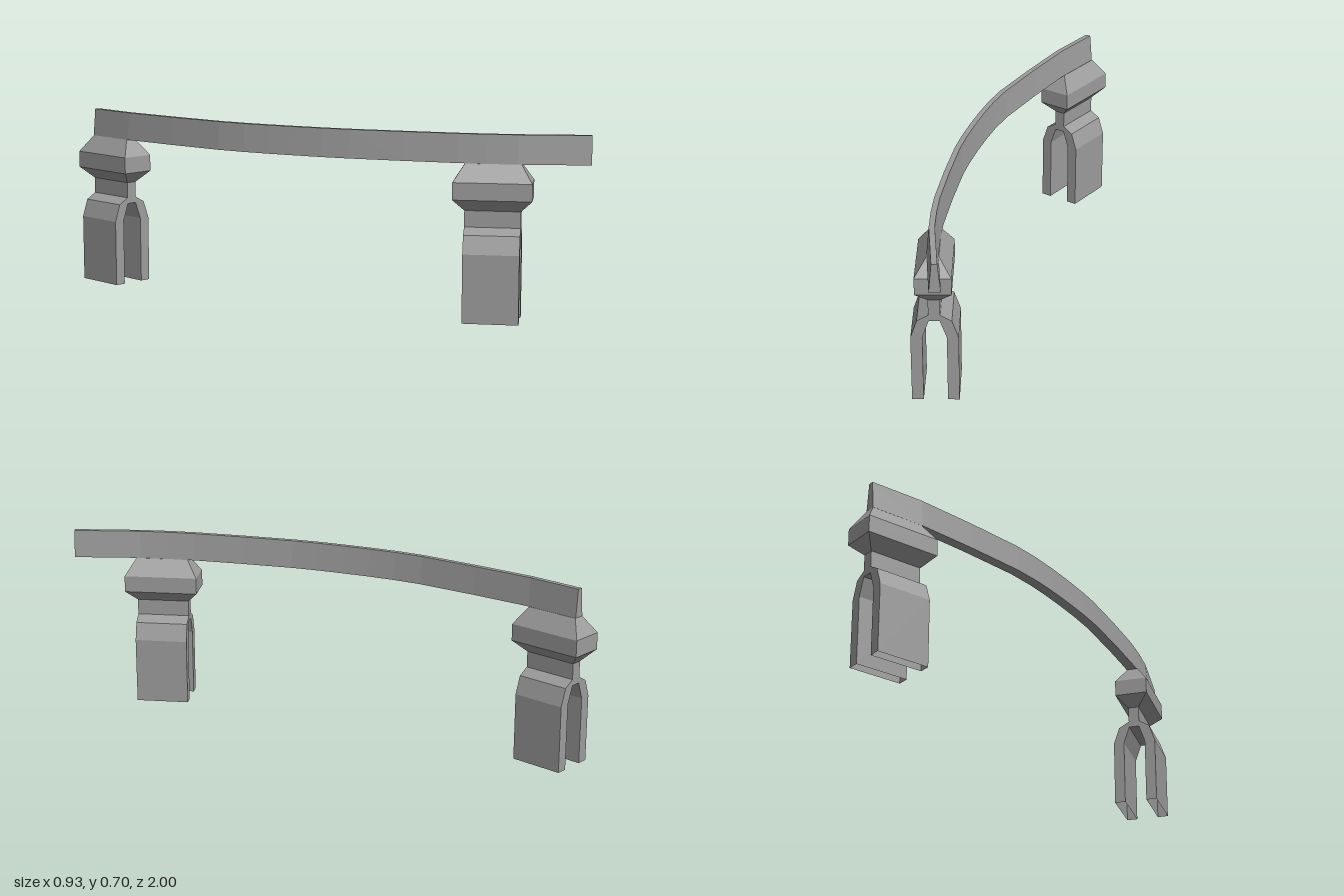
import * as THREE from 'three';

const material = new THREE.MeshStandardMaterial({
  color: 0x9c9c9c, flatShading: true, side: THREE.DoubleSide,
});

function makeGeometry(positions) {
  const geo = new THREE.BufferGeometry();
  geo.setAttribute('position', new THREE.Float32BufferAttribute(positions, 3));
  geo.computeVertexNormals();
  return geo;
}

// Skin a list of four-cornered rings, capped at both ends
function loft(rings) {
  const pos = [];
  const quad = (a, b, c, d) => pos.push(...a, ...b, ...c, ...a, ...c, ...d);
  for (let i = 0; i < rings.length - 1; i++) {
    for (let j = 0; j < 4; j++) {
      const k = (j + 1) % 4;
      quad(rings[i][j], rings[i][k], rings[i + 1][k], rings[i + 1][j]);
    }
  }
  quad(...[...rings[0]].reverse());
  quad(...rings[rings.length - 1]);
  return makeGeometry(pos);
}

function addMesh(parent, geo, name) {
  const mesh = new THREE.Mesh(geo, material);
  mesh.name = name;
  parent.add(mesh);
}

// Two hollow legs under a shoulder, open where they meet the ground
function makeFork() {
  const length = 0.21;
  // Half outline, mirrored to the other side
  const half = [[0.0215, 0.353], [0.063, 0.329], [0.0865, 0.261], [0.0865, 0],
    [0.044, 0], [0.044, 0.261], [0.02, 0.329]];
  const outline = [...half, ...half.map(([x, y]) => [-x, y]).reverse()];
  const shape = new THREE.Shape(outline.map(([x, y]) => new THREE.Vector2(x, y)));
  const solid = new THREE.ExtrudeGeometry(shape, { depth: length, bevelEnabled: false });
  solid.translate(0, 0, -length / 2);

  // Keep every triangle except those lying flat on the ground
  const all = solid.getAttribute('position').array;
  const kept = [];
  for (let i = 0; i < all.length; i += 9) {
    if (Math.max(all[i + 1], all[i + 4], all[i + 7]) > 0.001) kept.push(...all.slice(i, i + 9));
  }
  return makeGeometry(kept);
}

// Post: neck and bevelled cap above the fork
function makePost(name, x, z, degrees) {
  const post = new THREE.Group();
  post.name = name;

  // [height, half width, half length]
  const levels = [
    [0.353, 0.0215, 0.105], [0.415, 0.0215, 0.105], [0.46, 0.066, 0.147],
    [0.525, 0.066, 0.147], [0.591, 0.0215, 0.105],
  ];
  addMesh(post, loft(levels.map(([y, w, l]) =>
    [[w, y, l], [w, y, -l], [-w, y, -l], [-w, y, l]])), 'neckAndCap');
  addMesh(post, makeFork(), 'forkedLegs');

  post.position.set(x, 0, z);
  post.rotation.y = THREE.MathUtils.degToRad(degrees);
  return post;
}

// Curved rail with a trapezoid section, wider at the bottom
function makeRail() {
  const path = [
    [-0.377, -0.955], [-0.365, -0.74], [-0.328, -0.5], [-0.284, -0.263], [-0.252, -0.152],
    [-0.213, -0.045], [-0.172, 0.055], [-0.128, 0.155], [-0.08, 0.252], [0.025, 0.435],
    [0.132, 0.61], [0.195, 0.7], [0.265, 0.79], [0.448, 0.986],
  ];
  const last = path.length - 1;
  return loft(path.map(([x, z], i) => {
    const a = path[Math.max(i - 1, 0)], b = path[Math.min(i + 1, last)];
    const side = new THREE.Vector2(b[1] - a[1], a[0] - b[0]).normalize();
    const corner = (w, y) => [x + side.x * w, y, z + side.y * w];
    return [corner(0.021, 0.591), corner(0.0105, 0.7), corner(-0.0105, 0.7), corner(-0.021, 0.591)];
  }));
}

export function createModel() {
  const model = new THREE.Group();
  model.name = 'curvedRailOnPosts';
  addMesh(model, makeRail(), 'rail');
  model.add(makePost('backPost', -0.37, -0.85, 3.1));
  model.add(makePost('frontPost', 0.21, 0.718, 38.5));
  return model;
}
